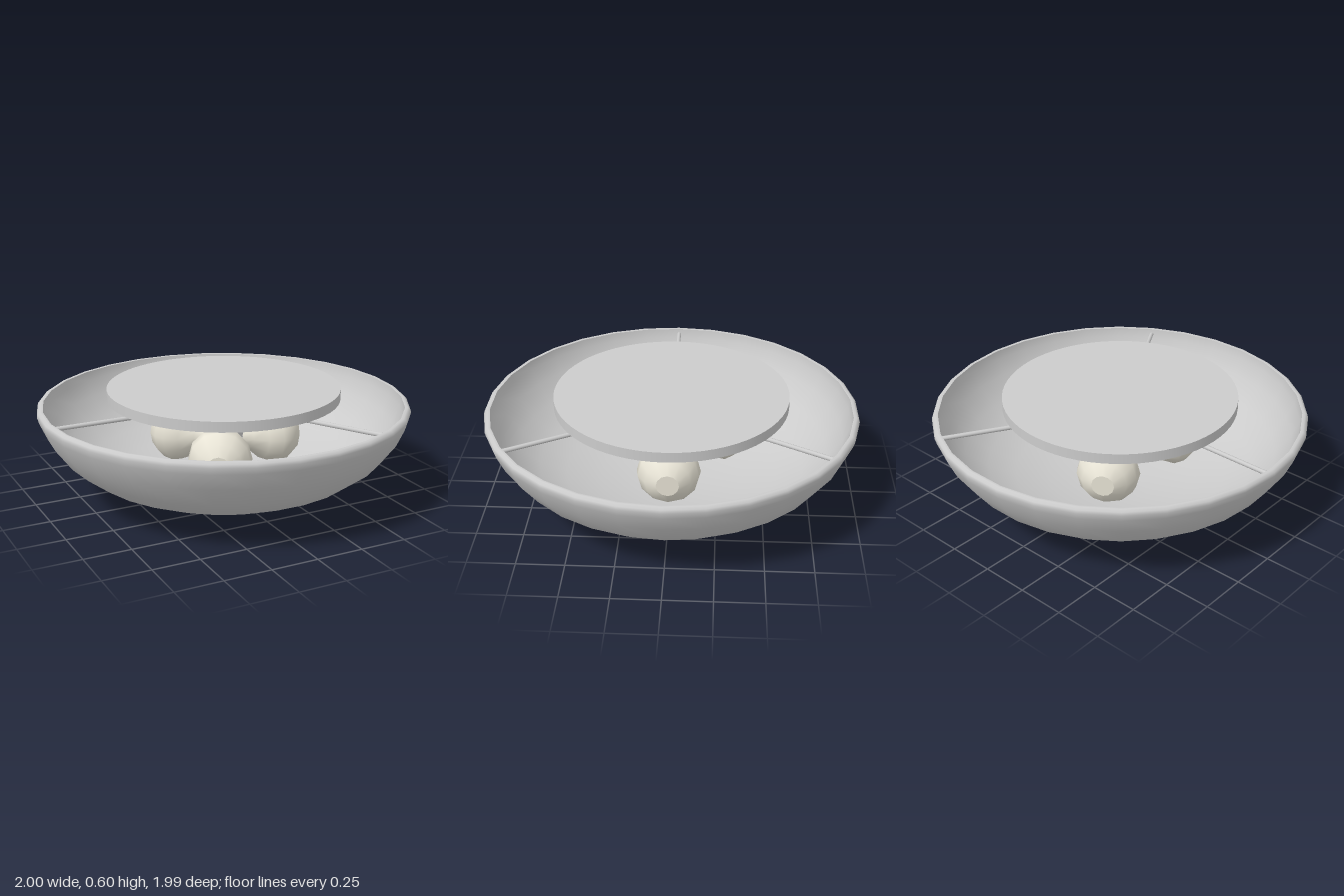
import * as THREE from 'three';

const grey = new THREE.MeshStandardMaterial({ color: 0xcccccc });
const bulbWhite = new THREE.MeshStandardMaterial({ color: 0xe8e4d6 });

function add(parent, name, geometry, material = grey) {
  const mesh = new THREE.Mesh(geometry, material);
  mesh.name = name;
  parent.add(mesh);
  return mesh;
}

function lathe(profile, sides) {
  const points = profile.map(([r, y]) => new THREE.Vector2(r, y));
  return new THREE.LatheGeometry(points, sides, Math.PI / 2);
}

export function createModel() {
  const group = new THREE.Group();
  group.name = 'ceilingLamp';

  // Bowl shade: rounded outer shell with its rim, then the inner shell
  const bowl = new THREE.Group();
  bowl.name = 'bowl';
  group.add(bowl);
  add(bowl, 'bowlOuter', lathe([
    [0, 0], [0.2, 0.012], [0.4, 0.043], [0.59, 0.097], [0.74, 0.165],
    [0.865, 0.26], [0.95, 0.375], [0.99, 0.465], [1, 0.5], [0.995, 0.517],
    [0.982, 0.527], [0.967, 0.525],
  ], 30));
  add(bowl, 'bowlInner', lathe([
    [0.967, 0.525], [0.96, 0.475], [0.922, 0.387], [0.842, 0.28],
    [0.722, 0.19], [0.578, 0.125], [0.393, 0.073], [0.2, 0.042], [0, 0.03],
  ], 30));

  // Ceiling plate
  add(group, 'ceilingPlate', new THREE.CylinderGeometry(0.627, 0.627, 0.055, 64))
    .position.y = 0.5725;

  // Central hub hanging from the plate
  add(group, 'hub', new THREE.CylinderGeometry(0.105, 0.105, 0.36, 32))
    .position.y = 0.37;

  for (let i = 0; i < 3; i++) {
    // Support rod reaching from the hub to the bowl rim
    const rodArm = new THREE.Group();
    rodArm.name = 'rodArm';
    rodArm.rotation.y = Math.PI + (i * Math.PI * 2) / 3;
    const rod = add(rodArm, 'rod', new THREE.CapsuleGeometry(0.012, 0.87, 4, 10));
    rod.rotation.z = -Math.PI / 2;
    rod.position.set(0.525, 0.495, 0);
    group.add(rodArm);

    // Light bulb pointing outward between two rods, with a flat tip
    const bulbArm = new THREE.Group();
    bulbArm.name = 'bulbArm';
    bulbArm.rotation.y = (i * Math.PI * 2) / 3;
    const bulb = new THREE.Group();
    bulb.name = 'bulb';
    bulb.rotation.z = -Math.PI / 2;
    bulb.position.y = 0.29;
    add(bulb, 'bulbGlass', lathe([
      [0.06, 0.09], [0.075, 0.15], [0.135, 0.215], [0.168, 0.29],
      [0.16, 0.35], [0.12, 0.41], [0.06, 0.445],
    ], 12), bulbWhite);
    const tip = add(bulb, 'bulbTip', new THREE.CircleGeometry(0.06, 12), bulbWhite);
    tip.rotation.x = -Math.PI / 2;
    tip.position.y = 0.445;
    bulbArm.add(bulb);
    group.add(bulbArm);
  }

  return group;
}
